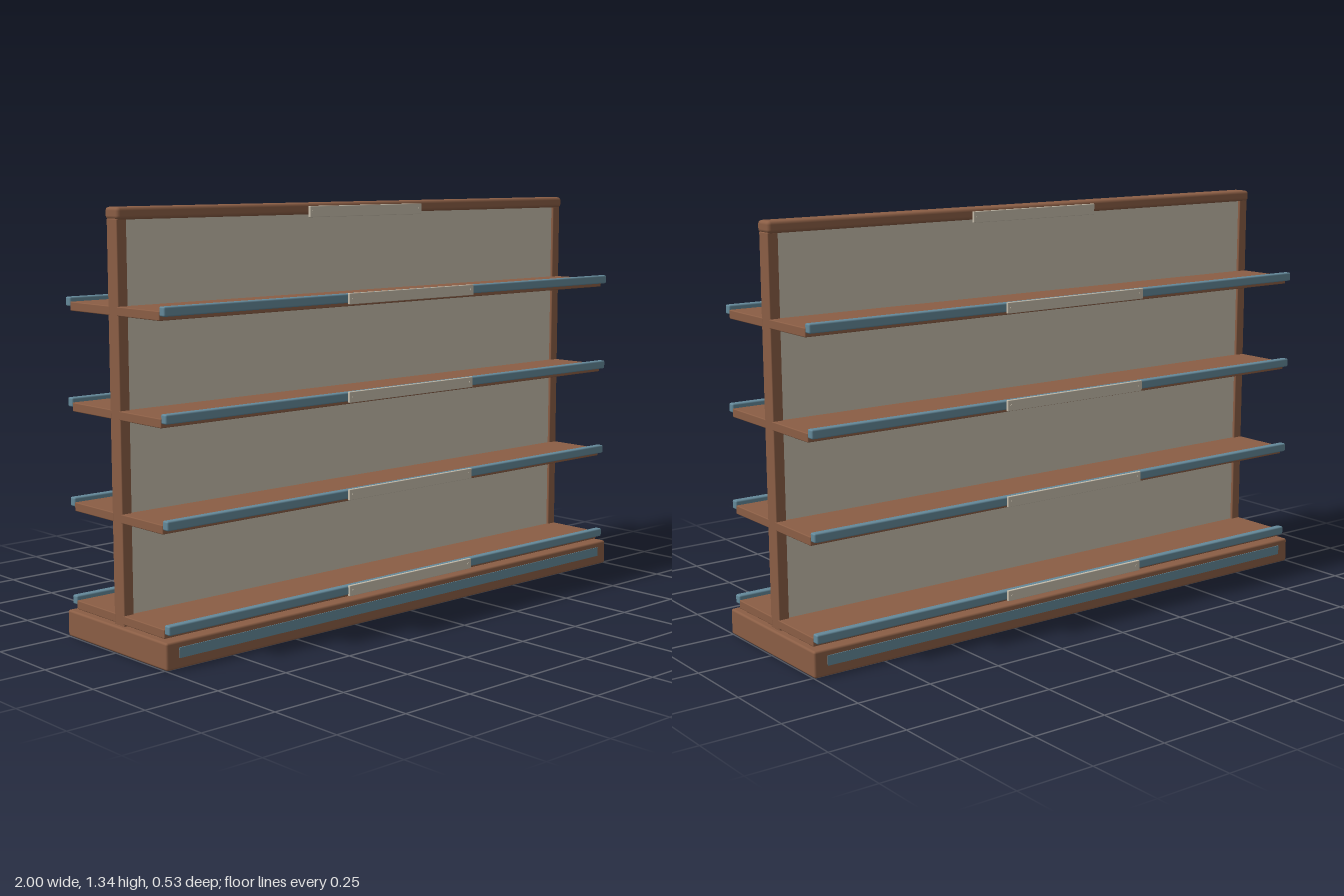
import * as THREE from 'three';
import { RoundedBoxGeometry } from 'three/addons/geometries/RoundedBoxGeometry.js';

const wood = new THREE.MeshStandardMaterial({ color: 0x8b5e45 });
const blue = new THREE.MeshStandardMaterial({ color: 0x64899a });
const cream = new THREE.MeshStandardMaterial({ color: 0xc9c0ae });

// Box given by its extents, with softened edges when r > 0
function block(parent, name, material, [x0, x1], [y0, y1], [z0, z1], r = 0) {
  const w = x1 - x0, h = y1 - y0, d = z1 - z0;
  const geometry = r ? new RoundedBoxGeometry(w, h, d, 2, r) : new THREE.BoxGeometry(w, h, d);
  const mesh = new THREE.Mesh(geometry, material);
  mesh.name = name;
  mesh.position.set((x0 + x1) / 2, (y0 + y1) / 2, (z0 + z1) / 2);
  parent.add(mesh);
  return mesh;
}

// Small round screw head facing +z
function screw(parent, x, y, z) {
  const mesh = new THREE.Mesh(new THREE.CylinderGeometry(0.004, 0.004, 0.002, 12), cream);
  mesh.name = 'screw';
  mesh.rotation.x = Math.PI / 2;
  mesh.position.set(x, y, z);
  parent.add(mesh);
}

// Everything on one face of the unit, built towards +z
function createSide(name) {
  const side = new THREE.Group();
  side.name = name;

  // Kick strip on the plinth
  block(side, 'kickStrip', blue, [-0.955, 0.955], [0.033, 0.065], [0.255, 0.2625]);

  // Shelves with price rail and label plate
  for (const top of [0.117, 0.429, 0.741, 1.051]) {
    const shelf = new THREE.Group();
    shelf.name = 'shelf';
    block(shelf, 'shelfBoard', wood, [-0.985, 0.985], [top - 0.028, top], [0.017, 0.229], 0.003);
    block(shelf, 'priceRail', blue, [-0.985, 0.985], [top - 0.015, top + 0.014], [0.228, 0.254], 0.005);
    block(shelf, 'labelPlate', cream, [-0.28, 0.28], [top - 0.019, top + 0.016], [0.252, 0.2615], 0.002);
    for (const x of [-0.266, 0.266]) screw(shelf, x, top - 0.001, 0.262);
    side.add(shelf);
  }

  // Header plate on the top cap
  block(side, 'headerPlate', cream, [-0.25, 0.25], [1.296, 1.332], [0.033, 0.043], 0.002);
  for (const x of [-0.238, 0.238]) screw(side, x, 1.314, 0.0435);
  return side;
}

export function createModel() {
  const model = new THREE.Group();
  model.name = 'doubleSidedShelf';

  // Plinth, posts, dividing panel and top cap
  block(model, 'plinth', wood, [-1, 1], [0, 0.084], [-0.26, 0.26], 0.007);
  for (const s of [-1, 1]) {
    const post = block(model, 'post', wood, [-0.0175, 0.0175], [0.082, 1.308], [-0.026, 0.026], 0.003);
    post.position.x = s * 0.967;
  }
  block(model, 'backPanel', cream, [-0.952, 0.952], [0.084, 1.308], [-0.017, 0.017]);
  block(model, 'topCap', wood, [-0.986, 0.986], [1.305, 1.342], [-0.034, 0.034], 0.011);

  // Two identical faces
  const front = createSide('frontSide');
  const back = createSide('backSide');
  back.rotation.y = Math.PI;
  model.add(front, back);
  return model;
}
